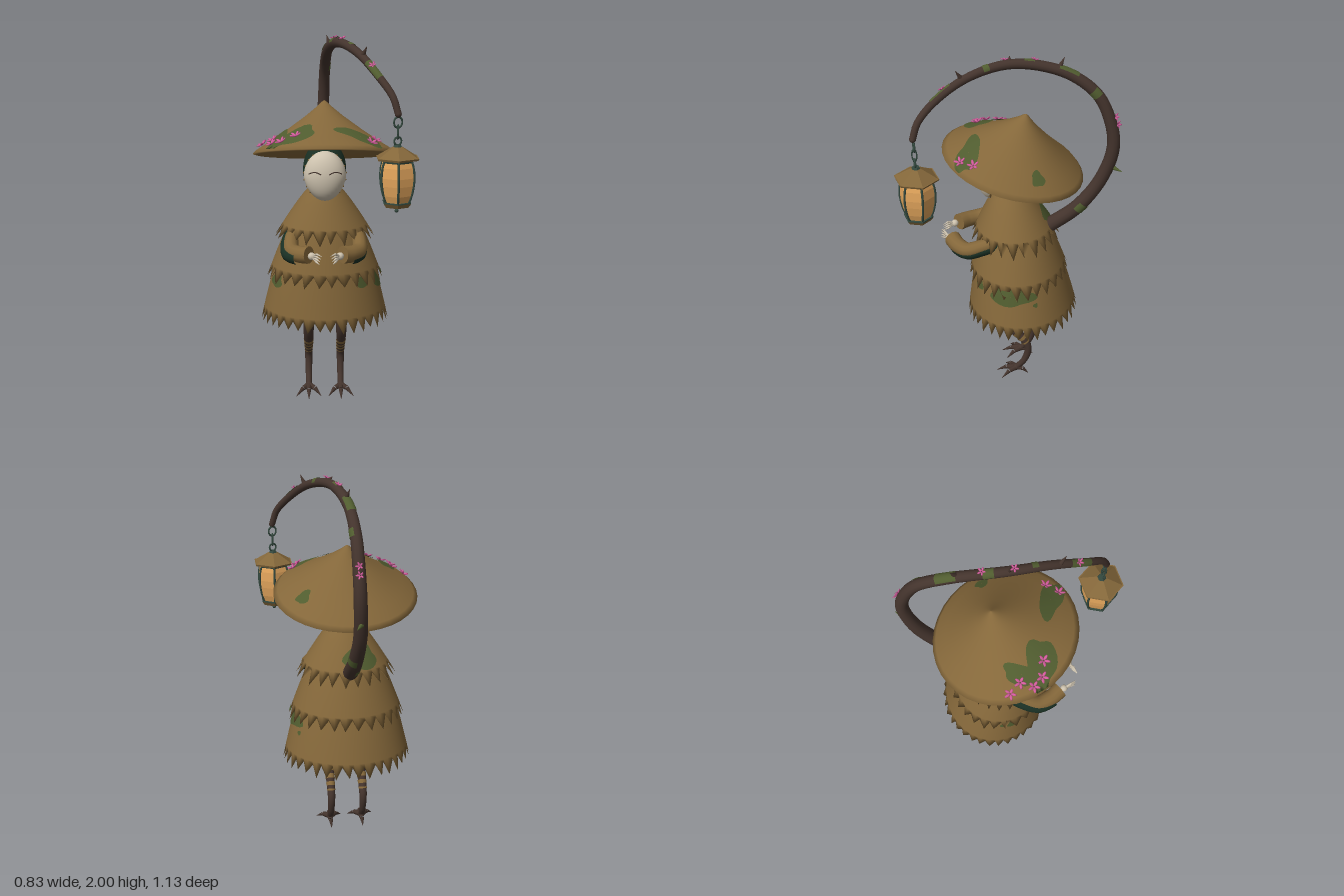
import * as THREE from 'three';
import { ParametricGeometry } from 'three/addons/geometries/ParametricGeometry.js';
import { mergeGeometries } from 'three/addons/utils/BufferGeometryUtils.js';

const V = (x, y, z) => new THREE.Vector3(x, y, z);
const material = (name, color, side = THREE.FrontSide) => {
  const m = new THREE.MeshStandardMaterial({ color, side });
  m.name = name;
  return m;
};
const straw = material('straw', 0x84673a);
const bark = material('bark', 0x44342d);
const cloth = material('darkGreenCloth', 0x1a3024);
const lining = material('darkLining', 0x13241c);
const bone = material('bone', 0xcdc2ae, THREE.DoubleSide);
const glow = material('lanternPaper', 0xe2a55c);
const metal = material('agedMetal', 0x34493f);
const moss = material('moss', 0x505c2f, THREE.DoubleSide);
const pink = material('blossom', 0xd25c9c);

const CX = -0.035; // middle of the body
let seed = 7;
const rand = () => (seed = (seed * 16807) % 2147483647) / 2147483647;

function add(parent, name, geometry, mat, x = 0, y = 0, z = 0) {
  const m = new THREE.Mesh(geometry, mat);
  m.name = name;
  m.position.set(x, y, z);
  parent.add(m);
  return m;
}
const flat = (g) => { const n = g.toNonIndexed(); n.computeVertexNormals(); return n; };

// Tapered tube along a curve; can cover only part of its length or girth
function sweep(curve, r0, r1, o = {}) {
  const { u0 = 0, u1 = 1, a0 = 0, a1 = Math.PI * 2, lift = 0, sides = 12, steps = 20, facing } = o;
  const N = 80, f = curve.computeFrenetFrames(N), mid = Math.round((u0 + u1) / 2 * N);
  const turn = facing ? Math.atan2(facing.dot(f.binormals[mid]), facing.dot(f.normals[mid])) : 0;
  return new ParametricGeometry((s, v, target) => {
    const u = u0 + (u1 - u0) * v, i = Math.min(N - 1, Math.floor(u * N)), k = u * N - i;
    const a = turn + a0 + (a1 - a0) * s, r = r0 + (r1 - r0) * u + lift;
    const n = f.normals[i].clone().lerp(f.normals[i + 1], k), b = f.binormals[i].clone().lerp(f.binormals[i + 1], k);
    target.copy(curve.getPointAt(u)).addScaledVector(n, r * Math.cos(a)).addScaledVector(b, r * Math.sin(a));
  }, sides, steps);
}
const spline = (pts) => new THREE.CatmullRomCurve3(pts.map((p) => V(...p)));
const spike = (a, b, r, tip = 0.001) => sweep(new THREE.LineCurve3(a, b), r, tip, { sides: 7, steps: 2 });

// Irregular patch laid on a surface given by map(p, q)
function patch(map, p, q, rp, rq, wobble = 0.14) {
  const ph = rand() * 6;
  return new ParametricGeometry((u, v, t) => {
    const a = u * Math.PI * 2, r = Math.max(v, 0.02) * (1 + wobble * Math.sin(a * 3 + ph) + wobble * 0.4 * Math.sin(a * 5));
    t.copy(map(p + rp * r * Math.cos(a), q + rq * r * Math.sin(a)));
  }, 28, 6);
}

// Five-petalled blossom facing along a normal
function flower(parent, pos, normal, size = 0.026) {
  const petals = [];
  for (let i = 0; i < 5; i++) {
    petals.push(new THREE.SphereGeometry(1, 6, 4).scale(size * 0.26, size * 0.14, size * 0.6)
      .translate(0, 0, size * 0.62).rotateX(-0.45).rotateY(i * Math.PI * 0.4));
  }
  const m = add(parent, 'blossom', mergeGeometries(petals), pink, pos.x, pos.y, pos.z);
  m.quaternion.setFromUnitVectors(V(0, 1, 0), normal.clone().normalize());
}

// One layer of the straw cape
const tierPoint = (d, th, t, k = 1) => {
  const e = Math.pow(t, 0.85), mix = (a, b) => a + (b - a) * e;
  return V(CX + mix(d.rx[0], d.rx[1]) * k * Math.sin(th), d.y[0] + (d.y[1] - d.y[0]) * t,
    mix(d.cz[0], d.cz[1]) + mix(d.rz[0], d.rz[1]) * k * Math.cos(th));
};
function tierGeometry(d) {
  const R = 6, n = d.teeth * 2, rootT = 1 - 0.074 / (d.y[0] - d.y[1]), pos = [], index = [];
  const hem = Array.from({ length: n }, (_, i) => (i % 2 ? 1 - rand() * 0.05 : rootT + rand() * 0.025));
  const shift = hem.map(() => (rand() - 0.5) * 0.5);
  for (let row = 0; row <= 2 * R; row++) { // down the outside, back up the inside
    const k = row > R ? 2 * R - row : row;
    for (let i = 0; i < n; i++) {
      const th = ((i + (k === R ? shift[i] : 0)) / n) * Math.PI * 2;
      pos.push(...tierPoint(d, th, k === R ? hem[i] : (k / (R - 1)) * rootT * 0.96, row > R ? 0.965 : 1));
    }
  }
  for (let row = 0; row < 2 * R; row++) for (let i = 0; i < n; i++) {
    const j = (i + 1) % n, a = row * n + i, b = row * n + j, c = b + n, e = a + n;
    index.push(a, e, c, a, c, b);
  }
  const g = new THREE.BufferGeometry();
  g.setAttribute('position', new THREE.Float32BufferAttribute(pos, 3));
  g.setIndex(index);
  g.computeVertexNormals();
  g.addGroup(0, (R + 1) * n * 6, 0);
  g.addGroup((R + 1) * n * 6, (R - 1) * n * 6, 1);
  return g;
}

function buildCape(root) {
  const cape = new THREE.Group();
  cape.name = 'cape';
  root.add(cape);
  const tiers = [
    { y: [1.215, 0.92], rx: [0.07, 0.275], rz: [0.075, 0.245], cz: [0.03, 0], teeth: 24 },
    { y: [1.04, 0.685], rx: [0.17, 0.32], rz: [0.16, 0.277], cz: [0.01, -0.02], teeth: 28 },
    { y: [0.83, 0.44], rx: [0.25, 0.354], rz: [0.22, 0.308], cz: [-0.01, -0.043], teeth: 36 },
  ];
  tiers.forEach((d) => add(cape, 'capeTier', tierGeometry(d), [straw, lining]));
  add(cape, 'capeFloor', new THREE.CircleGeometry(1, 32).rotateX(Math.PI / 2).scale(0.315, 1, 0.265), lining, CX, 0.56, -0.035);
  // tier, angle, depth, angular radius, depth radius
  [[0, 3.5, 0.5, 0.5, 0.2], [2, 1.55, 0.33, 0.5, 0.14], [2, -1.1, 0.33, 0.2, 0.1], [2, 0.75, 0.32, 0.12, 0.08],
    [2, 2.05, 0.47, 0.05, 0.03], [1, 1.5, 0.87, 0.12, 0.04]].forEach(([i, p, q, rp, rq]) =>
    add(cape, 'capeMoss', patch((a, t) => tierPoint(tiers[i], a, t, 1.012), p, q, rp, rq), moss));
}

function buildHat(root) {
  const hat = new THREE.Group();
  hat.name = 'hat';
  hat.position.set(CX, 1.38, 0.012);
  hat.rotation.x = -0.242;
  root.add(hat);
  const outer = [[0.383, -0.003], [0.36, 0.019], [0.3, 0.057], [0.2, 0.125], [0.1, 0.199], [0.04, 0.249], [0.015, 0.274], [0, 0.284]];
  const inner = [[0, 0.16], [0.1, 0.12], [0.2, 0.065], [0.3, 0.02], [0.362, -0.008]];
  add(hat, 'hatCone', new THREE.LatheGeometry([...inner, ...outer].map((p) => new THREE.Vector2(...p)), 36), straw);
  const onHat = (x, z) => {
    const r = Math.min(Math.hypot(x, z), 0.378), s = r / Math.max(Math.hypot(x, z), 1e-6);
    const i = Math.max(1, outer.findIndex((p) => p[0] <= r)), [a, b] = [outer[i - 1], outer[i]];
    return V(x * s, a[1] + (b[1] - a[1]) * (a[0] - r) / (a[0] - b[0]) + 0.006, z * s);
  };
  [[-0.17, 0.235, 0.125, 0.068], [-0.235, 0.15, 0.045, 0.09], [0.18, 0.225, 0.12, 0.052], [0.24, -0.15, 0.036, 0.036]]
    .forEach(([x, z, rx, rz]) => add(hat, 'hatMoss', patch(onHat, x, z, rx, rz), moss));
  [[-0.325, 0.1], [-0.27, 0.145], [-0.275, 0.21], [-0.225, 0.245], [-0.15, 0.245], [0.26, 0.18], [0.235, 0.25]]
    .forEach(([x, z]) => flower(hat, onHat(x, z), V(x * 1.7, 0.8, z * 1.7), 0.03));
}

function buildHead(root) {
  add(root, 'hood', new THREE.SphereGeometry(1, 28, 20).scale(0.115, 0.158, 0.108), cloth, CX, 1.297, 0.03);
  // Mask: half ellipsoid narrowing to the chin, with a wooden back
  const mask = new THREE.SphereGeometry(1, 28, 20, 0, Math.PI).scale(0.111, 0.133, 0.078);
  const p = mask.attributes.position;
  for (let i = 0; i < p.count; i++) if (p.getY(i) < 0) p.setX(i, p.getX(i) * (1 + p.getY(i)));
  mask.computeVertexNormals();
  add(root, 'mask', mask, bone, CX, 1.28, 0.127);
  add(root, 'maskBack', new THREE.CircleGeometry(1, 28).rotateY(Math.PI).scale(0.108, 0.13, 1), straw, CX, 1.28, 0.125);
  const face = (x, y, out = 0.0005) => V(CX + x, 1.28 + y, 0.127 + out + 0.078 * Math.sqrt(1 - (x / 0.111) ** 2 - (y / 0.133) ** 2));
  const arc = (s, y, bend) => new THREE.CatmullRomCurve3([0, 1, 2, 3, 4].map((i) =>
    face(s * (0.02 + i * 0.0165), y + bend * Math.sin(i * Math.PI / 4))));
  for (const s of [-1, 1]) {
    add(root, 'closedEye', sweep(arc(s, 0.02, 0.012), 0.003, 0.003, { sides: 6 }), bark);
    // Studs along the mask rim
    for (let i = 0; i < 7; i++) {
      const a = -0.7 + i * 0.28;
      add(root, 'maskStud', new THREE.SphereGeometry(0.006, 6, 5), straw,
        CX + s * 0.11 * Math.cos(a) * (a < 0 ? 1 + 0.133 * Math.sin(a) : 1), 1.28 + 0.132 * Math.sin(a), 0.129);
    }
  }
}

function buildArm(root, s) {
  const path = (dx, dy) => spline([[0.16, 0.97, 0.06], [0.18, 0.935, 0.15], [0.175, 0.9, 0.235], [0.135, 0.898, 0.295], [0.085, 0.905, 0.335]]
    .map(([x, y, z]) => [CX + s * (x + dx), y + dy, z]));
  const outward = s < 0 ? 0.02 : 0.003;
  add(root, 'sleeve', sweep(path(0, 0.004), 0.035, 0.046), straw);
  add(root, 'underSleeve', sweep(path(outward, -0.014), 0.036, 0.035, { u1: 0.85 }), cloth);
  const cuff = add(root, 'cuff', new THREE.CircleGeometry(0.045, 16), straw, CX + s * 0.087, 0.909, 0.334);
  cuff.lookAt(CX + s * 0.03, 0.914, 0.375);
  // Bony hand
  add(root, 'palm', new THREE.SphereGeometry(0.02, 10, 8), bone, CX + s * 0.073, 0.908, 0.355);
  for (let i = 0; i < 4; i++) {
    const y = 0.928 - i * 0.014, k = V(CX + s * 0.048, y, 0.388);
    add(root, 'finger', spike(V(CX + s * 0.07, 0.908, 0.36), k, 0.008, 0.006), bone);
    add(root, 'fingertip', spike(k, V(CX + s * (0.022 + 0.004 * i), y - 0.006, 0.412), 0.006), bone);
  }
}

function buildLeg(root, s) {
  const x = CX + s * 0.09;
  const leg = spline([[x - s * 0.005, 0.6, 0.07], [x, 0.43, 0.07], [x, 0.34, 0.02], [x, 0.265, -0.055], [x, 0.2, -0.088], [x, 0.11, -0.07], [x, 0.04, -0.02]]);
  add(root, 'leg', sweep(leg, 0.034, 0.016, { steps: 36 }), bark);
  [[0.44, 0.48], [0.51, 0.55], [0.58, 0.61], [0.64, 0.655]].forEach(([u0, u1]) =>
    add(root, 'legWrap', sweep(leg, 0.034, 0.016, { u0, u1, lift: 0.002, steps: 4 }), straw));
  add(root, 'ankle', new THREE.SphereGeometry(0.02, 10, 8), bark, x, 0.042, -0.02);
  // Clawed toes
  [[0, 0.095], [-0.07, 0.055], [0.07, 0.055], [0, -0.09]].forEach(([dx, z]) => {
    const k = V(x + dx * 0.5, 0.036, -0.02 + (z + 0.02) * 0.5);
    add(root, 'toe', spike(V(x, 0.042, -0.02), k, 0.018, 0.013), bark);
    add(root, 'claw', spike(k, V(x + dx, 0.004, z), 0.013), bark);
  });
}

function buildBranch(root) {
  const branch = new THREE.Group();
  branch.name = 'branch';
  root.add(branch);
  const path = spline([[-0.035, 1.0, -0.19], [-0.04, 1.12, -0.33], [-0.045, 1.3, -0.45], [-0.035, 1.5, -0.507], [-0.03, 1.65, -0.485], [-0.025, 1.8, -0.41],
    [-0.01, 1.91, -0.25], [0.045, 1.961, 0], [0.135, 1.92, 0.2], [0.222, 1.825, 0.35], [0.29, 1.73, 0.432], [0.315, 1.65, 0.455]]);
  const R0 = 0.041, R1 = 0.017, radius = (u) => R0 + (R1 - R0) * u;
  const out = (u) => { const p = path.getPointAt(u); return V(0, p.y - 1.45, p.z).normalize(); };
  const skin = (u) => path.getPointAt(u).addScaledVector(out(u), radius(u));
  add(branch, 'branchStem', sweep(path, R0, R1, { steps: 70 }), bark);
  add(branch, 'branchRoot', new THREE.SphereGeometry(R0, 12, 8), bark, -0.035, 1.0, -0.19);
  add(branch, 'branchTip', new THREE.SphereGeometry(R1, 12, 8), bark, 0.315, 1.65, 0.455);
  [[0.03, 0.06, 1.2], [0.09, 0.115, -1], [0.45, 0.47, -1.4], [0.52, 0.57, 0.2], [0.63, 0.655, 0.5], [0.74, 0.755, -0.6], [0.84, 0.9, 0.3]].forEach(([u0, u1, a]) =>
    add(branch, 'branchMoss', sweep(path, R0, R1, { u0, u1, a0: a - 1, a1: a + 1, lift: 0.002, steps: 6, facing: out((u0 + u1) / 2) }), moss));
  [[0.24, 0.045, 0.03], [0.57, 0.042, -0.015], [0.69, 0.01, -0.02], [0.81, 0.042, 0.02]].forEach(([u, len, dx], i) => {
    const p = skin(u);
    add(branch, 'thorn', spike(p.clone().addScaledVector(out(u), -0.01), p.clone().addScaledVector(out(u), len).add(V(dx, 0, 0)), 0.014), i ? bark : moss);
  });
  [0.36, 0.38, 0.63, 0.7, 0.86].forEach((u) => flower(branch, skin(u), out(u).add(V(u < 0.4 ? 0.5 : -0.3, 0, 0)), 0.02));
}

function buildLantern(root) {
  const lantern = new THREE.Group();
  lantern.name = 'lantern';
  lantern.position.set(0.315, 0, 0.447);
  root.add(lantern);
  const profile = [[0.064, 1.21], [0.08, 1.25], [0.09, 1.3], [0.093, 1.34], [0.088, 1.39], [0.075, 1.43]];
  add(lantern, 'lanternPanels', flat(new THREE.LatheGeometry(profile.map((p) => new THREE.Vector2(...p)), 6)), glow);
  for (let i = 0; i < 6; i++) {
    const a = i * Math.PI / 3;
    add(lantern, 'lanternBar', sweep(spline(profile.map(([r, y]) => [r * Math.sin(a), y, r * Math.cos(a)])), 0.006, 0.006, { sides: 6, steps: 8 }), metal);
  }
  const hex = (name, top, bottom, h, y, mat) => add(lantern, name, flat(new THREE.CylinderGeometry(top, bottom, h, 6)), mat, 0, y, 0);
  hex('lanternRoof', 0.025, 0.112, 0.052, 1.463, straw);
  hex('lanternEave', 0.117, 0.113, 0.01, 1.433, straw);
  hex('lanternCollar', 0.084, 0.08, 0.014, 1.42, metal);
  hex('lanternBase', 0.078, 0.064, 0.02, 1.2, straw);
  hex('lanternBaseTrim', 0.078, 0.078, 0.006, 1.213, metal);
  hex('lanternKnob', 0.018, 0.024, 0.012, 1.493, metal);
  add(lantern, 'pendantRod', new THREE.CylinderGeometry(0.005, 0.005, 0.03, 8), metal, 0, 1.185, 0);
  add(lantern, 'pendantBead', new THREE.SphereGeometry(0.01, 10, 8), metal, 0, 1.168, 0);
  // Chain links, alternating direction
  [[1.518, 0.02, 1], [1.562, 0.018, 1.7], [1.61, 0.023, 1.15]].forEach(([y, r, stretch], i) =>
    add(lantern, 'chainLink', new THREE.TorusGeometry(r, 0.005, 6, 16).scale(i === 1 ? 0.7 : 1, stretch, 1).rotateY(i === 1 ? Math.PI / 2 : 0.4), metal, 0, y, 0.004));
}

export function createModel() {
  seed = 7;
  const root = new THREE.Group();
  root.name = 'lanternBearer';
  buildCape(root);
  buildHat(root);
  buildHead(root);
  for (const s of [-1, 1]) { buildArm(root, s); buildLeg(root, s); }
  buildBranch(root);
  buildLantern(root);
  return root;
}
